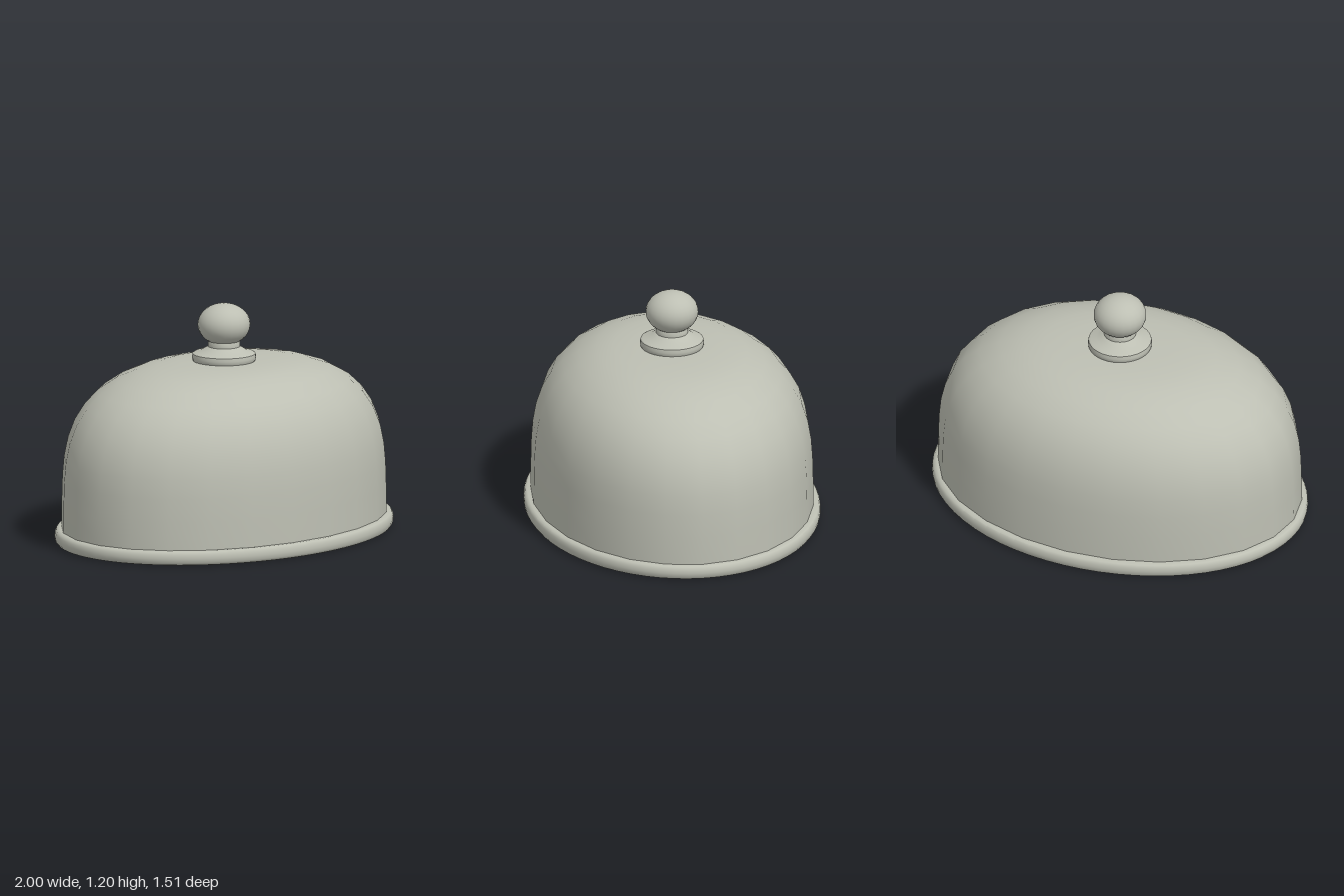
import * as THREE from 'three';
import { toCreasedNormals } from 'three/addons/utils/BufferGeometryUtils.js';

export function createModel() {
  const model = new THREE.Group();
  model.name = 'ovalServingCover';
  const metal = new THREE.MeshStandardMaterial({ color: 0xbdbfb3 });
  metal.name = 'warmGreyMetal';

  // Turned part, squashed in z to make it oval; sharp profile edges stay crisp
  function turned(name, profile, segments, depth = 1) {
    const points = profile.map(([r, y]) => new THREE.Vector2(r, y));
    const geometry = new THREE.LatheGeometry(points, segments);
    geometry.scale(1, 1, depth);
    const mesh = new THREE.Mesh(toCreasedNormals(geometry, 0.7), metal);
    mesh.name = name;
    model.add(mesh);
    return mesh;
  }

  // Rolled rim with the closed flat underside
  turned('rim', [
    [0, 0], [0.972, 0], [0.988, 0.005], [0.997, 0.017], [1, 0.037],
    [0.997, 0.057], [0.988, 0.07], [0.972, 0.075], [0.93, 0.075],
  ], 64, 0.757);

  // Dome: nearly upright wall curving into a shallow crown
  turned('dome', [
    [0.97, 0.06], [0.968, 0.22], [0.964, 0.34], [0.954, 0.44], [0.932, 0.535],
    [0.89, 0.63], [0.83, 0.71], [0.75, 0.78], [0.64, 0.838], [0.52, 0.877],
    [0.4, 0.896], [0.26, 0.904], [0, 0.906],
  ], 24, 0.743);

  // Stepped collar and neck under the knob
  turned('collar', [
    [0.155, 0.895], [0.163, 0.91], [0.165, 0.925], [0.162, 0.942], [0.15, 0.949],
    [0.122, 0.955], [0.098, 0.97], [0.082, 0.978], [0.082, 1.0], [0.078, 1.01], [0, 1.03],
  ], 32);

  // Slightly flattened ball knob
  const knob = new THREE.Mesh(new THREE.SphereGeometry(0.136, 24, 16), metal);
  knob.name = 'knob';
  knob.scale.y = 0.8;
  knob.position.y = 1.094;
  model.add(knob);

  return model;
}
